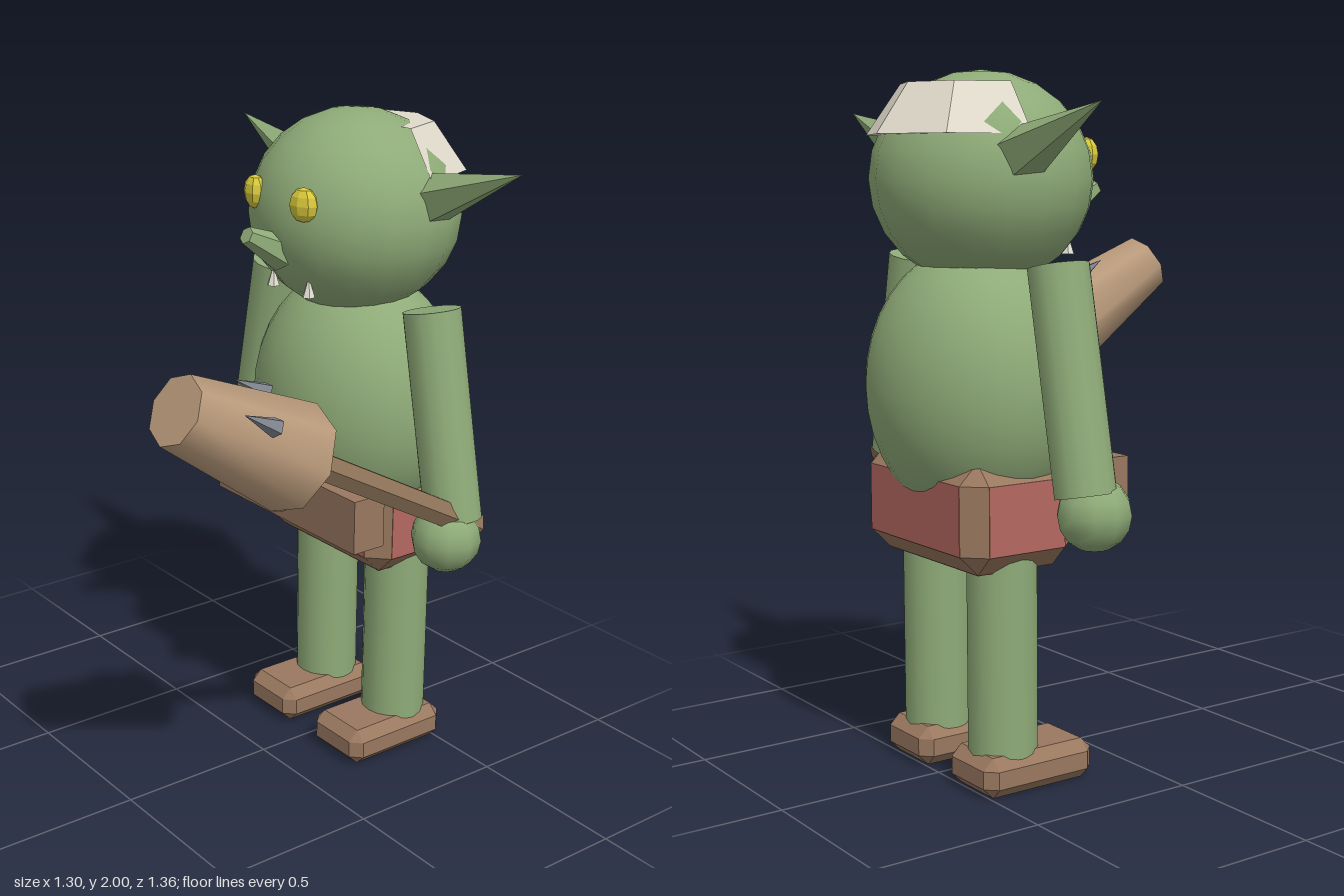
import * as THREE from 'three';
import { ConvexGeometry } from 'three/addons/geometries/ConvexGeometry.js';

const UP = new THREE.Vector3(0, 1, 0);
const mat = (color, extra = {}) => new THREE.MeshStandardMaterial({ color, ...extra });
const flat = (color) => mat(color, { flatShading: true });

const SKIN = mat(0x8fab78), SKIN_FLAT = flat(0x8fab78);
const LEATHER = flat(0x9a7860), CLOTH = flat(0xb5685f);
const EYE = flat(0xd8c93a), BRASS = flat(0xd2bc78), TOOTH = flat(0xe4e0d4);
const HAIR = mat(0xe0dacb, { flatShading: true, side: THREE.DoubleSide });
const WOOD = mat(0xb8997a), HANDLE = flat(0x8f745a), IRON = flat(0x80858f);

// Box with chamfered edges and corners
function chamferBox(w, h, d, b) {
  const pts = [];
  const [x, y, z] = [w / 2, h / 2, d / 2];
  for (const i of [-1, 1]) for (const j of [-1, 1]) for (const k of [-1, 1]) {
    pts.push(new THREE.Vector3(i * x, j * (y - b), k * (z - b)));
    pts.push(new THREE.Vector3(i * (x - b), j * y, k * (z - b)));
    pts.push(new THREE.Vector3(i * (x - b), j * (y - b), k * z));
  }
  return new ConvexGeometry(pts);
}

export function createModel() {
  const model = new THREE.Group();
  model.name = 'goblin';
  const figure = new THREE.Group();
  figure.name = 'figure';
  figure.position.x = -0.015;
  model.add(figure);

  const add = (name, geometry, material, x, y, z, parent = figure) => {
    const mesh = new THREE.Mesh(geometry, material);
    mesh.name = name;
    mesh.position.set(x, y, z);
    parent.add(mesh);
    return mesh;
  };
  const ellipsoid = (name, material, pos, radii, ws, hs, parent) => {
    const mesh = add(name, new THREE.SphereGeometry(1, ws, hs), material, ...pos, parent);
    mesh.scale.set(...radii);
    return mesh;
  };
  // Tapered rod from point a to point b
  const rod = (name, material, a, b, ra, rb, sides, parent, turn = 0) => {
    const p = new THREE.Vector3(...a), q = new THREE.Vector3(...b);
    const dir = q.clone().sub(p);
    const geo = new THREE.CylinderGeometry(rb, ra, dir.length(), sides).rotateY(turn);
    const mid = p.add(q).multiplyScalar(0.5);
    const mesh = add(name, geo, material, mid.x, mid.y, mid.z, parent);
    mesh.quaternion.setFromUnitVectors(UP, dir.normalize());
    return mesh;
  };

  // Head and torso
  ellipsoid('head', SKIN, [0, 1.7, -0.345], [0.325, 0.3, 0.312], 18, 12);
  ellipsoid('torso', SKIN, [0, 1.12, -0.37], [0.35, 0.4, 0.3], 28, 18);
  rod('nose', SKIN_FLAT, [0, 1.605, -0.08], [0, 1.675, 0.05], 0.055, 0.026, 6);

  // Half ring of hair at the back of the head
  add('hair', new THREE.CylinderGeometry(0.2, 0.3, 0.14, 4, 1, false, Math.PI / 2, Math.PI),
    HAIR, 0, 1.89, -0.38);

  // Hips: leather block with cloth panels on its faces
  add('hips', chamferBox(0.59, 0.31, 0.365, 0.058), LEATHER, 0, 0.788, -0.397);
  const inset = 0.116, proud = 0.003;
  [[1, 0, 0], [0, 1, 0], [0, 0, 1]].forEach((axis) => {
    const size = [0.59, 0.31, 0.365].map((s, i) => (axis[i] ? s + proud : s - inset));
    add('hipPanel', new THREE.BoxGeometry(...size), CLOTH, 0, 0.788, -0.397);
  });

  // Belt plate and buckle
  add('belt', new THREE.BoxGeometry(0.68, 0.165, 0.112), LEATHER, 0, 0.853, -0.143);
  ellipsoid('buckle', BRASS, [0, 0.855, -0.068], [0.048, 0.055, 0.05], 8, 6);

  // Paired parts, built on the left and mirrored to the right
  for (const side of [1, -1]) {
    const half = new THREE.Group();
    half.name = side > 0 ? 'leftSide' : 'rightSide';
    half.scale.x = side;
    figure.add(half);

    rod('ear', SKIN_FLAT, [0.26, 1.76, -0.4], [0.633, 1.895, -0.4], 0.082, 0, 5, half, -Math.PI / 2);
    const eye = ellipsoid('eye', EYE, [0.115, 1.767, -0.066], [0.048, 0.05, 0.032], 8, 6, half);
    eye.rotation.y = 0.25;
    add('tooth', new THREE.ConeGeometry(0.02, 0.06, 6), TOOTH, 0.085, 1.517, -0.11, half);

    rod('arm', SKIN, [0.483, 0.87, -0.34], [0.36, 1.473, -0.34], 0.085, 0.085, 14, half);
    ellipsoid('hand', SKIN, [0.485, 0.82, -0.313], [0.104, 0.102, 0.104], 10, 8, half);

    add('leg', new THREE.CylinderGeometry(0.1, 0.1, 0.6, 16), SKIN, 0.171, 0.4, -0.4, half);
    add('shoe', chamferBox(0.227, 0.115, 0.365, 0.032), LEATHER, 0.172, 0.0575, -0.338, half);
  }

  // Club in the left hand
  const club = new THREE.Group();
  club.name = 'club';
  club.position.x = 0.509;
  figure.add(club);
  rod('clubHandle', HANDLE, [0, 0.845, -0.4], [0, 1.24, 0.32], 0.042, 0.042, 6, club, Math.PI / 6);
  rod('clubHead', WOOD, [0, 1.205, 0.265], [0, 1.412, 0.637], 0.155, 0.098, 8, club);

  // Iron spikes set along the club head
  for (const [x, y, z] of [[-0.065, 1.405, 0.36], [0.13, 1.385, 0.47]]) {
    rod('clubSpike', IRON, [x, y - 0.027, z - 0.05], [x, y + 0.027, z + 0.05], 0.028, 0, 5, club);
  }

  return model;
}
